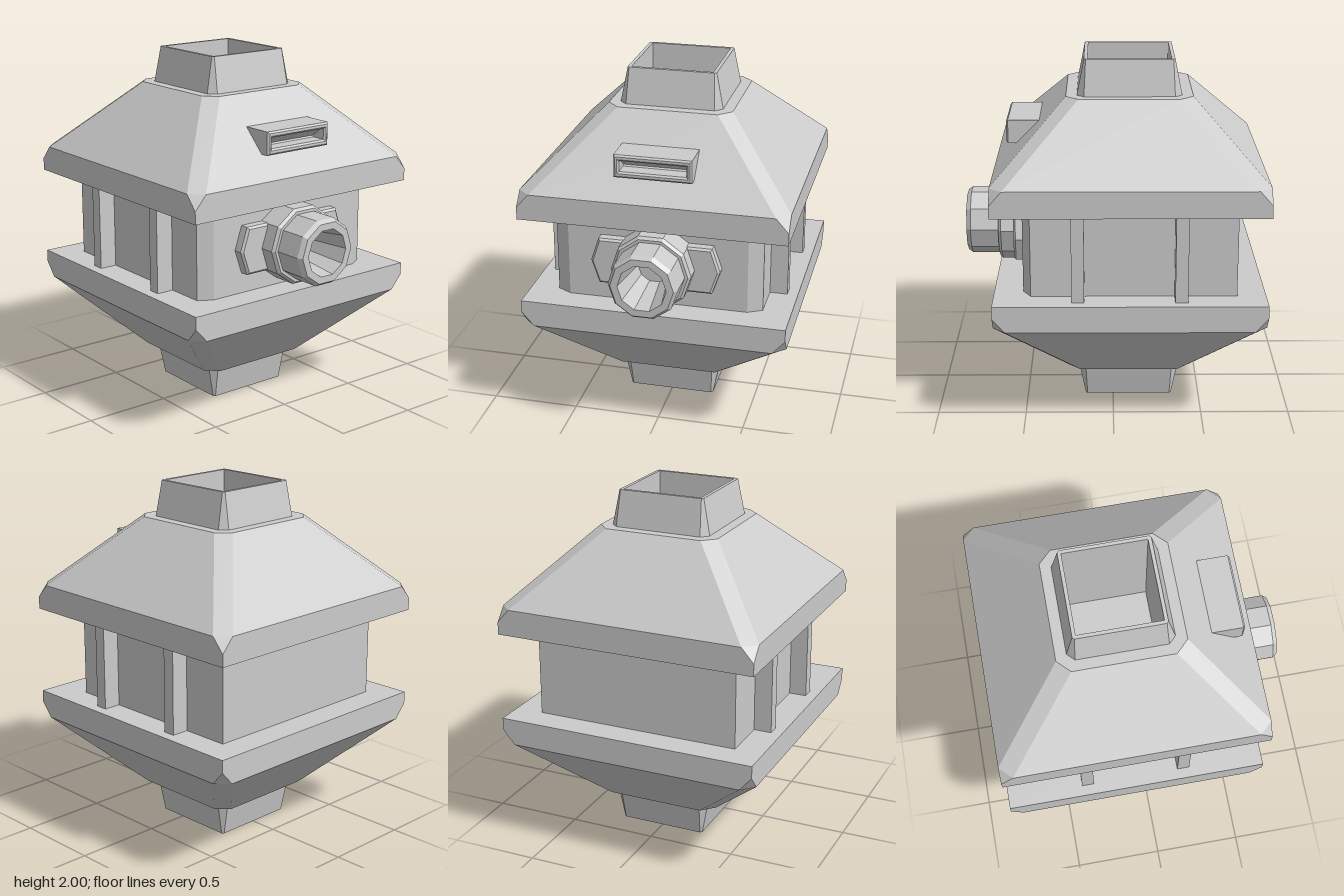
import * as THREE from 'three';

const grey = new THREE.MeshStandardMaterial({ color: 0xcccccc, flatShading: true });

function add(parent, name, geometry, x = 0, y = 0, z = 0) {
  const mesh = new THREE.Mesh(geometry, grey);
  mesh.name = name;
  mesh.position.set(x, y, z);
  parent.add(mesh);
  return mesh;
}

// Skin over square rings [height, half width, corner cut]
function loft(sections) {
  const rings = sections.map(([y, h, c]) => {
    const k = h - c;
    return [[-k, h], [k, h], [h, k], [h, -k], [k, -h], [-k, -h], [-h, -k], [-h, k]]
      .map(([x, z]) => new THREE.Vector3(x, y, z));
  });
  const points = [];
  const tri = (a, b, c) => {
    if (a.distanceTo(b) > 1e-5 && b.distanceTo(c) > 1e-5 && c.distanceTo(a) > 1e-5) points.push(a, b, c);
  };
  for (let i = 0; i < rings.length - 1; i++) {
    for (let j = 0; j < 8; j++) {
      const n = (j + 1) % 8;
      tri(rings[i][j], rings[i][n], rings[i + 1][n]);
      tri(rings[i][j], rings[i + 1][n], rings[i + 1][j]);
    }
  }
  const geometry = new THREE.BufferGeometry().setFromPoints(points);
  geometry.computeVertexNormals();
  return geometry;
}

const polygon = (pts) => new THREE.Shape(pts.map(([x, y]) => new THREE.Vector2(x, y)));

const rect = (w, y0, y1) => polygon([[-w, y0], [w, y0], [w, y1], [-w, y1]]);

// Extrusion from z = 0 to depth whose front edge is chamfered inward
function chamfered(shape, depth, bevel) {
  return new THREE.ExtrudeGeometry(shape, {
    depth: depth - 2 * bevel, bevelEnabled: true, bevelSegments: 1,
    bevelSize: bevel, bevelThickness: bevel, bevelOffset: -bevel,
  }).translate(0, 0, bevel);
}

export function createModel() {
  const model = new THREE.Group();
  model.name = 'housing';

  // Everything except the front fittings shares this axis
  const core = new THREE.Group();
  core.name = 'core';
  core.position.z = -0.09;
  model.add(core);

  // Sloped hood with open neck, and the same piece inverted below
  const hood = loft([
    [1.25, 0.4, 0], [1.25, 0.75, 0], [1.32, 0.75, 0], [1.4, 0.75, 0.07],
    [1.8, 0.35, 0.07], [1.8, 0.29, 0.04], [2, 0.25, 0.01],
    [2, 0.23, 0], [1.3, 0.225, 0], [1.3, 0, 0],
  ]);
  add(core, 'upperHood', hood);
  add(core, 'lowerHood', hood, 0, 2, 0).rotation.x = Math.PI;

  // Square body with trimmed front corners
  const plan = polygon([[-0.59, -0.545], [-0.51, -0.59], [0.51, -0.59], [0.59, -0.545], [0.59, 0.59], [-0.59, 0.59]]);
  const body = new THREE.ExtrudeGeometry(plan, { depth: 0.5, bevelEnabled: false });
  add(core, 'body', body.rotateX(-Math.PI / 2), 0, 0.75, 0);

  // Side ribs
  for (const side of [-1, 1]) {
    for (const z of [-0.28, 0.285]) {
      add(core, 'sideRib', new THREE.BoxGeometry(0.12, 0.5, 0.07), side * 0.63, 1, z);
    }
  }

  // Mounting plate with pointed ends
  const plate = polygon([[-0.32, -0.135], [0.32, -0.135], [0.365, 0], [0.32, 0.135], [-0.32, 0.135], [-0.365, 0]]);
  add(model, 'mountingPlate', chamfered(plate, 0.08, 0.012), 0, 1, 0.48);

  // Ten-sided collar and hollow nozzle
  const profile = [
    [0.225, 0.48], [0.225, 0.64], [0.21, 0.656], [0.193, 0.656], [0.193, 0.815],
    [0.175, 0.84], [0.135, 0.84], [0.092, 0.55], [0, 0.55],
  ].map(([r, z]) => new THREE.Vector2(r, z));
  const nozzle = new THREE.LatheGeometry(profile, 10, Math.PI / 2);
  add(model, 'nozzle', nozzle.rotateX(Math.PI / 2), 0, 1, 0);

  // Vent frame on the front slope, with a slanted inner baffle
  const frame = rect(0.215, 1.52, 1.65);
  frame.holes.push(rect(0.185, 1.555, 1.615));
  add(model, 'ventFrame', chamfered(frame, 0.26, 0.01), 0, 0, 0.335);
  const wedge = polygon([[0.58, 1.625], [0.44, 1.625], [0.49, 1.558]]);
  const baffle = new THREE.ExtrudeGeometry(wedge, { depth: 0.38, bevelEnabled: false });
  add(model, 'ventBaffle', baffle.rotateY(-Math.PI / 2), 0.19, 0, 0);

  return model;
}
